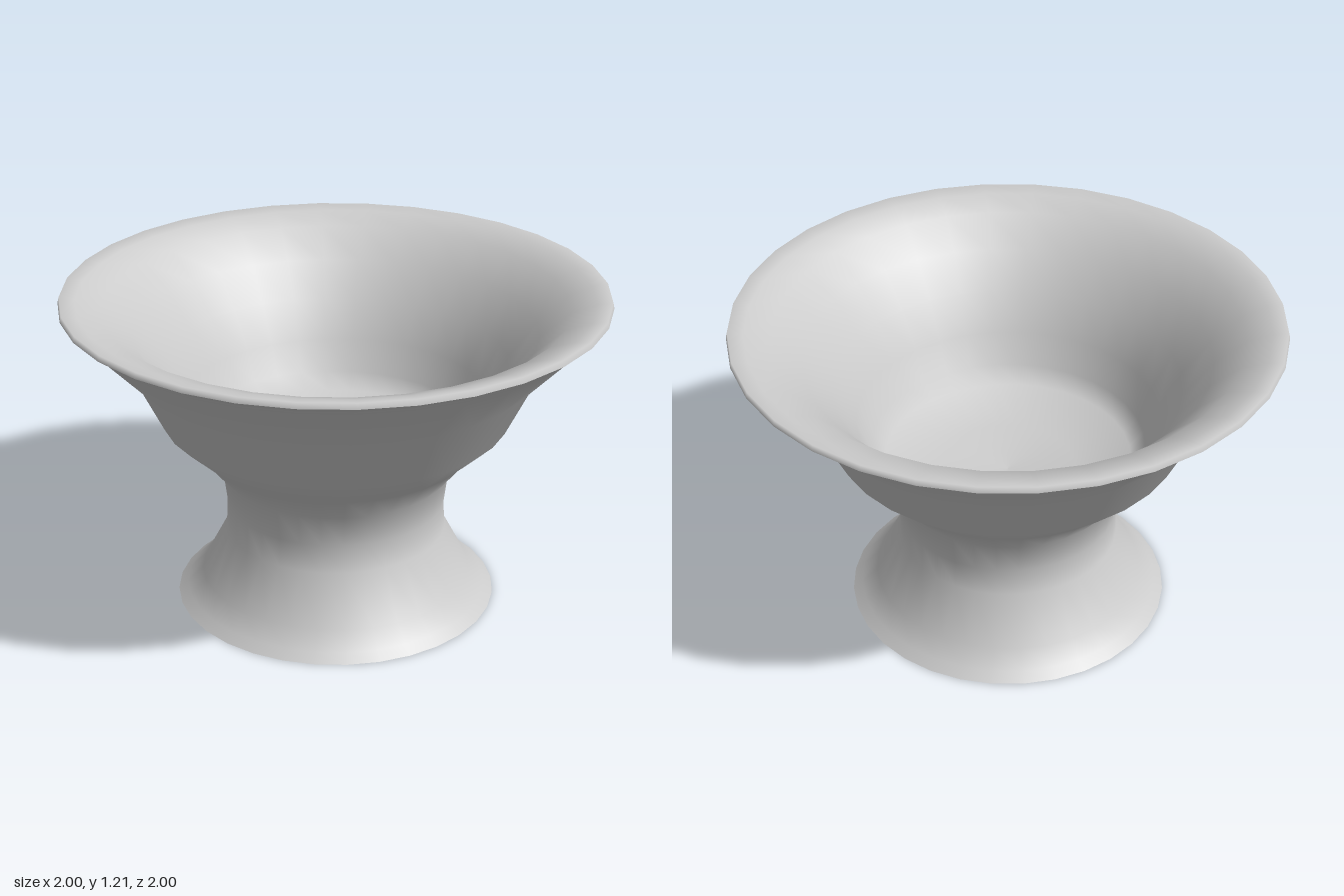
import * as THREE from 'three';

const SEGMENTS = 32;

// One smooth section of the turned profile; sharp edges fall between sections.
function turned(name, profile, material) {
  const points = profile.map(([r, y]) => new THREE.Vector2(r, y));
  const mesh = new THREE.Mesh(new THREE.LatheGeometry(points, SEGMENTS), material);
  mesh.name = name;
  return mesh;
}

export function createModel() {
  const model = new THREE.Group();
  model.name = 'footedBowl';
  const material = new THREE.MeshStandardMaterial({ color: 0xcccccc, side: THREE.DoubleSide });

  // Profiles run in one direction: under the foot, up the outside, over the rim, into the bowl.
  const sections = {
    footRecess: [[0, 0.04], [0.26, 0.04]],
    footUnderside: [[0.26, 0.04], [0.605, 0]],
    outerWall: [
      [0.605, 0], [0.57, 0.03], [0.51, 0.09], [0.415, 0.27], [0.41, 0.38], [0.425, 0.5],
      [0.515, 0.61], [0.645, 0.73], [0.745, 0.935], [0.94, 1.14], [0.955, 1.155],
    ],
    lipUnderside: [[0.955, 1.155], [0.965, 1.167], [1, 1.187]],
    rimAndInterior: [
      [1, 1.187], [0.995, 1.208], [0.94, 1.197], [0.85, 1.163], [0.74, 1.06],
      [0.64, 0.93], [0.56, 0.79], [0.51, 0.67], [0.46, 0.61], [0.25, 0.56], [0, 0.54],
    ],
  };
  for (const [name, profile] of Object.entries(sections)) {
    model.add(turned(name, profile, material));
  }
  return model;
}
